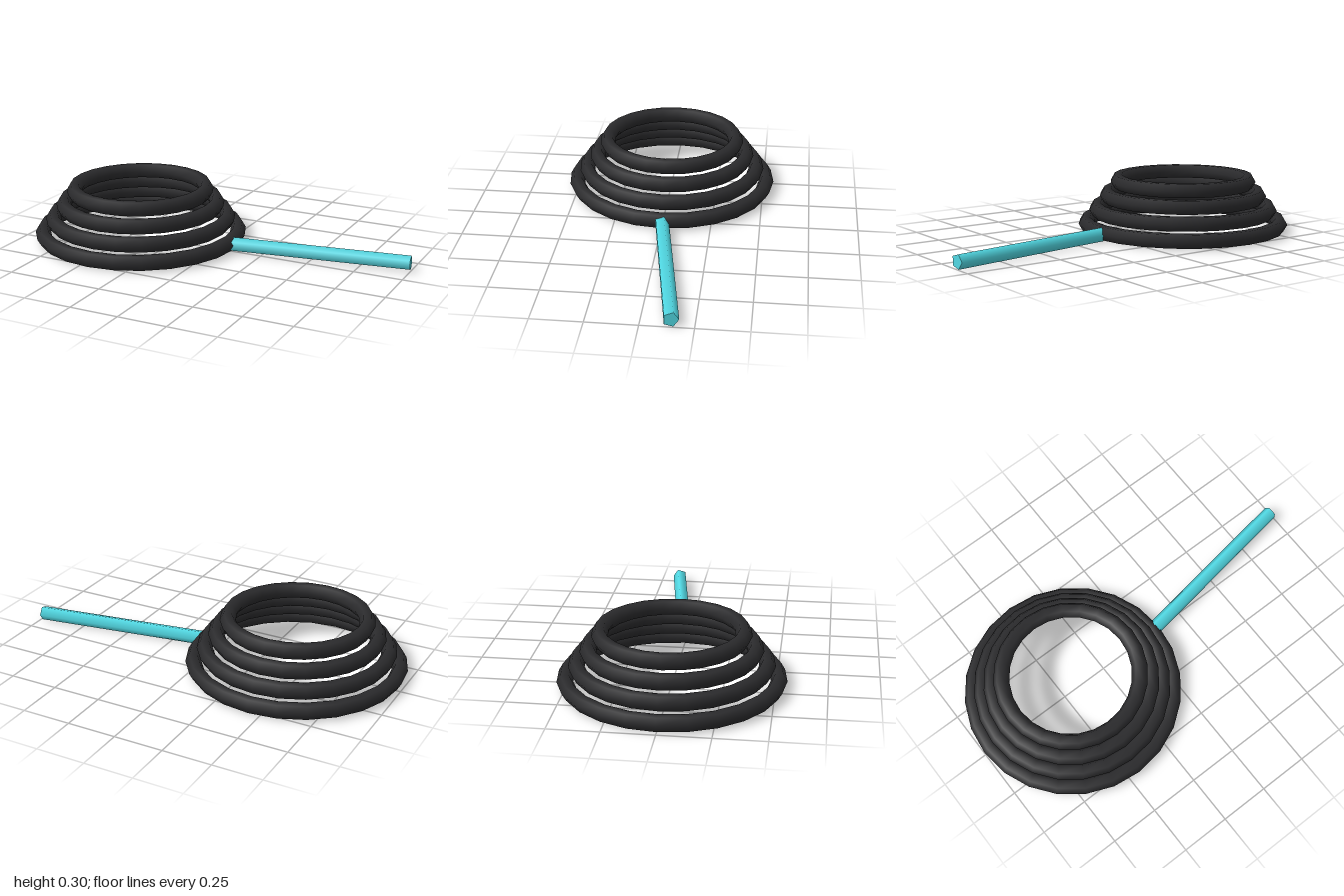
import * as THREE from 'three';

export function createModel() {
  const model = new THREE.Group();
  const black = new THREE.MeshStandardMaterial({ color: 0x2b2b2d });
  const cyan = new THREE.MeshStandardMaterial({ color: 0x52dbe6 });

  // stacked coil rings, shrinking towards the top
  for (let i = 0; i < 4; i++) {
    const ring = new THREE.Mesh(new THREE.TorusGeometry(0.516 - i * 0.057, 0.04, 6, 24), black);
    ring.name = `coilRing${i + 1}`;
    ring.rotation.x = -Math.PI / 2;
    ring.position.set(-0.445, 0.041 + i * 0.0748, 0);
    model.add(ring);
  }

  // five-sided rod running out from the bottom ring
  const start = new THREE.Vector3(0.085, 0.037, -0.002);
  const end = new THREE.Vector3(0.995, 0.037, -0.143);
  const rodGeometry = new THREE.CylinderGeometry(0.038, 0.038, start.distanceTo(end), 5, 1, false, Math.PI);
  rodGeometry.rotateZ(-Math.PI / 2);
  const rod = new THREE.Mesh(rodGeometry, cyan);
  rod.name = 'rod';
  rod.rotation.y = Math.atan2(start.z - end.z, end.x - start.x);
  rod.position.copy(start).lerp(end, 0.5);
  model.add(rod);

  return model;
}
